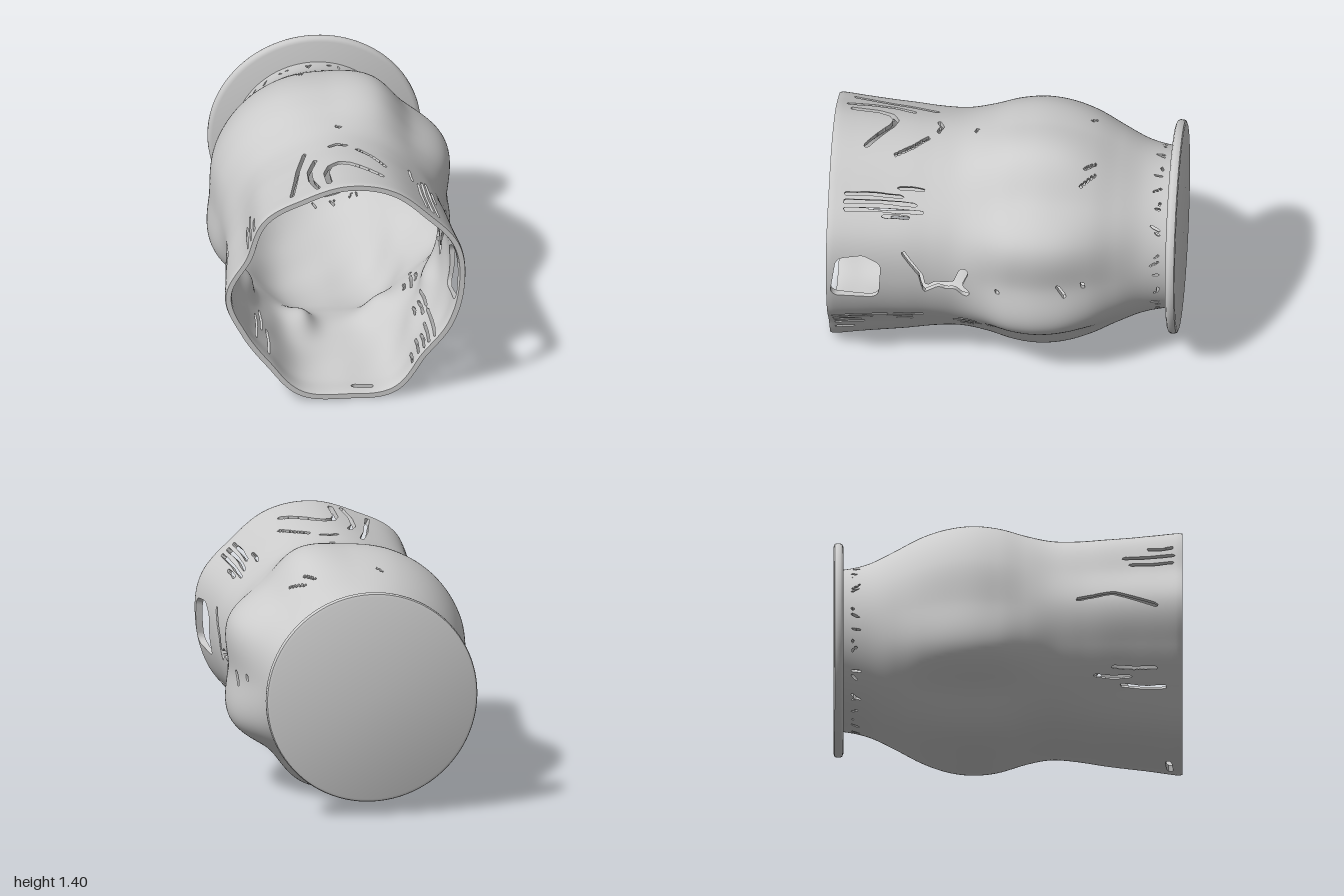
import * as THREE from 'three';
import { toCreasedNormals } from 'three/addons/utils/BufferGeometryUtils.js';

const AXIS_Y = 0.71, Z0 = -0.95, Z1 = 1, COLS = 240, ROWS = 100;
const RAD = Math.PI / 180;

// Mean radius every 0.15 along the axis, from neck to mouth
const profile = [0.465, 0.497, 0.565, 0.638, 0.685, 0.703, 0.688, 0.65, 0.624, 0.625, 0.638, 0.65, 0.665, 0.68];
// Radii every 22.5 degrees: eight lobes at the belly, uneven corners at the mouth
const belly = [0.69, 0.745, 0.68, 0.735, 0.693, 0.705, 0.71, 0.70, 0.675, 0.725, 0.67, 0.71, 0.692, 0.725, 0.665, 0.745];
const mouth = [0.68, 0.705, 0.675, 0.695, 0.688, 0.665, 0.685, 0.635, 0.705, 0.665, 0.66, 0.72, 0.70, 0.725, 0.642, 0.66];
// Lumps on the inside of the waist: [degrees, z, height, width in degrees]
const lumps = [
  [250, 0.3, 0.07, 9], [297, 0.2, 0.07, 12], [112, 0.3, 0.07, 10], [68, 0.3, 0.06, 10],
  [205, 0.35, 0.04, 9], [20, 0.45, 0.03, 8], [-25, 0.4, 0.03, 8],
];

// Holes as polylines of [degrees, z] with a half width
const holes = [
  // side window
  { w: 0.05, p: [[-8, 0.75], [7, 0.74], [10, 0.8], [9, 0.9], [-6, 0.925], [-8, 0.75]] },
  { w: 0.08, p: [[-2, 0.83], [3, 0.83]] },
  // torn opening behind it
  { w: 0.012, p: [[16, 0.56], [3, 0.46], [-8, 0.435]] },
  { w: 0.02, p: [[-6, 0.42], [-3, 0.37], [-4, 0.3]] },
  { w: 0.028, p: [[-4, 0.31], [-3, 0.25], [5, 0.215]] },
  { w: 0.025, p: [[-4, 0.25], [-8, 0.205]] },
  // curved slits on top
  { w: 0.013, p: [[108, 0.42], [113, 0.6], [115, 0.72], [118, 0.9]] },
  { w: 0.014, p: [[103, 0.55], [107, 0.66], [107, 0.79], [104, 0.93]] },
  { w: 0.016, p: [[98, 0.9], [98.5, 0.75], [96, 0.675], [91, 0.645], [86, 0.665], [71, 0.8]] },
  { w: 0.013, p: [[80, 0.45], [73, 0.53], [67, 0.63]] },
  { w: 0.012, p: [[94, 0.4], [90, 0.38], [85, 0.4]] },
  // far side and underside tears
  { w: 0.012, p: [[178, 0.4], [175, 0.6], [183, 0.85]] },
  { w: 0.018, p: [[-86, 0.92], [-78, 0.93]] },
  // small pits
  { w: 0.012, p: [[2, -0.33], [-4, -0.37]] },
  { w: 0.011, p: [[3, -0.47], [0, -0.475]] },
  { w: 0.012, p: [[-3, 0.02], [-4, 0.015]] },
  { w: 0.01, p: [[103, -0.5], [100, -0.47]] },
  { w: 0.01, p: [[67, -0.52], [63, -0.46]] },
  { w: 0.01, p: [[61, -0.52], [54, -0.44]] },
  { w: 0.011, p: [[89, 0.17], [86, 0.19]] },
];
// Parallel slits: [degrees, z start, z end]
for (const [a, s, e] of [
  [34, 0.54, 0.68], [37, 0.46, 0.9], [41, 0.5, 0.91], [45, 0.58, 0.9], [49, 0.46, 0.6],
  [-33, 0.46, 0.62], [-33, 0.66, 0.97], [-37, 0.52, 0.66], [-38, 0.75, 0.97], [-42, 0.52, 0.6], [-42, 0.82, 0.97],
  [-47, 0.8, 0.96], [-53, 0.86, 0.96], [-37, 0.15, 0.25], [-41, 0.13, 0.28], [-46, 0.17, 0.24], [-42, 0.06, 0.08],
  [143, 0.8, 0.94], [148, 0.66, 0.95], [153, 0.7, 0.94], [214, 0.6, 0.85], [219, 0.5, 0.7], [224, 0.65, 0.9],
]) holes.push({ w: 0.011, p: [[a, s], [a + 0.8, (s + e) / 2], [a + 0.2, e]] });
// Ring of short slits round the neck
for (let i = 0; i < 40; i++) {
  const a = i * 9 + 3 * Math.sin(i * 2.7);
  holes.push({ w: 0.009, p: [[a, -0.895], [a + 3 * Math.sin(i * 5.1), -0.865 + 0.02 * Math.sin(i * 1.9)]] });
}

const wrapDegrees = d => (((d % 360) + 540) % 360) - 180;

// Smooth interpolation of an evenly spaced table
function sample(table, t, loop) {
  const n = table.length, i = Math.floor(t), f = t - i;
  const at = k => table[loop ? ((k % n) + n) % n : Math.min(Math.max(k, 0), n - 1)];
  const [a, b, c, d] = [at(i - 1), at(i), at(i + 1), at(i + 2)];
  return b + 0.5 * f * (c - a + f * (2 * a - 5 * b + 4 * c - d + f * (3 * (b - c) + d - a)));
}

// Signed distance to the nearest hole; negative is cut away
function holeDistance(deg, z) {
  let best = 1;
  for (const { w, p } of holes) {
    for (let i = 0; i < p.length - 1; i++) {
      const ax = wrapDegrees(p[i][0] - deg) * RAD * 0.66, ay = p[i][1] - z;
      const dx = (p[i + 1][0] - p[i][0]) * RAD * 0.66, dy = p[i + 1][1] - p[i][1];
      const t = THREE.MathUtils.clamp(-(ax * dx + ay * dy) / (dx * dx + dy * dy), 0, 1);
      best = Math.min(best, Math.hypot(ax + dx * t, ay + dy * t) - w);
    }
  }
  return best;
}

// Point of the outer or inner wall at an angle and depth
function wallPoint({ deg, z }, inner) {
  const s = THREE.MathUtils.smoothstep, k = deg / 22.5;
  const lobes = s(z, -0.85, -0.3) * (1 - s(z, -0.1, 0.3));
  const corners = s(z, -0.05, 0.75) * 0.9 + s(z, 0.75, 1) * 0.1;
  let r = sample(profile, (z - Z0) / 0.15, false);
  r *= 1 + lobes * (sample(belly, k, true) / 0.703 - 1) + corners * (sample(mouth, k, true) / 0.68 - 1);
  const lip = 0.005 * s(z, 0.975, 1);
  const a = deg * RAD;
  if (inner) {
    const rough = Math.sin(a * 5 + z * 9) * Math.sin(a * 3 - z * 6) + 0.5 * Math.sin(a * 11 + z * 17);
    r -= 0.03 + 0.01 * s(z, 0.85, 0.97) + 0.015 * (1 - s(z, -0.9, -0.6)) - lip;
    r -= 0.005 * rough * s(z, -0.8, -0.4) * (1 - s(z, 0.8, 0.97));
    for (const [d, lz, height, width] of lumps) {
      r -= height * Math.exp(-((wrapDegrees(deg - d) / width) ** 2) - ((z - lz) / 0.15) ** 2);
    }
  } else r -= lip;
  const y = AXIS_Y - 0.01 * (1 - s(z, -0.9, -0.4));
  return [Math.cos(a) * r, y + Math.sin(a) * r, z];
}

function buildWall() {
  const pos = [];
  const quad = (a, b, c, d) => pos.push(...a, ...b, ...c, ...a, ...c, ...d);
  const grid = [];
  for (let j = 0; j <= ROWS; j++) {
    const row = [];
    for (let i = 0; i <= COLS; i++) {
      const deg = i * 360 / COLS, z = Z0 + (Z1 - Z0) * j / ROWS;
      row.push({ deg, z, d: holeDistance(deg, z) });
    }
    grid.push(row);
  }
  // Clip a triangle against the holes, add both skins and the cut edge
  const addTriangle = tri => {
    const kept = [];
    let exit = null, entry = null;
    tri.forEach((a, n) => {
      const b = tri[(n + 1) % 3];
      if (a.d >= 0) kept.push(a);
      if ((a.d >= 0) !== (b.d >= 0)) {
        const t = a.d / (a.d - b.d);
        const c = { deg: a.deg + (b.deg - a.deg) * t, z: a.z + (b.z - a.z) * t };
        kept.push(c);
        if (a.d >= 0) exit = c; else entry = c;
      }
    });
    const out = kept.map(v => wallPoint(v, false)), inn = kept.map(v => wallPoint(v, true));
    for (let n = 1; n < kept.length - 1; n++) {
      pos.push(...out[0], ...out[n], ...out[n + 1], ...inn[0], ...inn[n + 1], ...inn[n]);
    }
    if (exit) quad(wallPoint(entry, false), wallPoint(exit, false), wallPoint(exit, true), wallPoint(entry, true));
  };
  for (let j = 0; j < ROWS; j++) {
    for (let i = 0; i < COLS; i++) {
      const a = grid[j][i], b = grid[j][i + 1], c = grid[j + 1][i + 1], d = grid[j + 1][i];
      addTriangle([a, b, c]);
      addTriangle([a, c, d]);
    }
  }
  // Lip closing the two skins at the mouth
  for (let i = 0; i < COLS; i++) {
    const a = grid[ROWS][i], b = grid[ROWS][i + 1];
    quad(wallPoint(a, false), wallPoint(b, false), wallPoint(b, true), wallPoint(a, true));
  }
  const geo = new THREE.BufferGeometry();
  geo.setAttribute('position', new THREE.Float32BufferAttribute(pos, 3));
  return toCreasedNormals(geo, 0.8);
}

export function createModel() {
  const group = new THREE.Group();
  group.name = 'vessel';
  const material = new THREE.MeshStandardMaterial({ color: 0xcccccc });

  const wall = new THREE.Mesh(buildWall(), material);
  wall.name = 'lobedWall';
  group.add(wall);

  // Round foot plate closing the back end
  const outline = [[0, -1], [0.595, -1], [0.61, -0.994], [0.615, -0.982], [0.615, -0.962], [0.608, -0.95], [0.59, -0.943], [0, -0.943]];
  const lathe = new THREE.LatheGeometry(outline.map(p => new THREE.Vector2(...p)), 96);
  lathe.rotateX(Math.PI / 2);
  const foot = new THREE.Mesh(toCreasedNormals(lathe, 0.7), material);
  foot.name = 'footPlate';
  foot.position.set(0.005, 0.705, 0);
  group.add(foot);

  return group;
}
